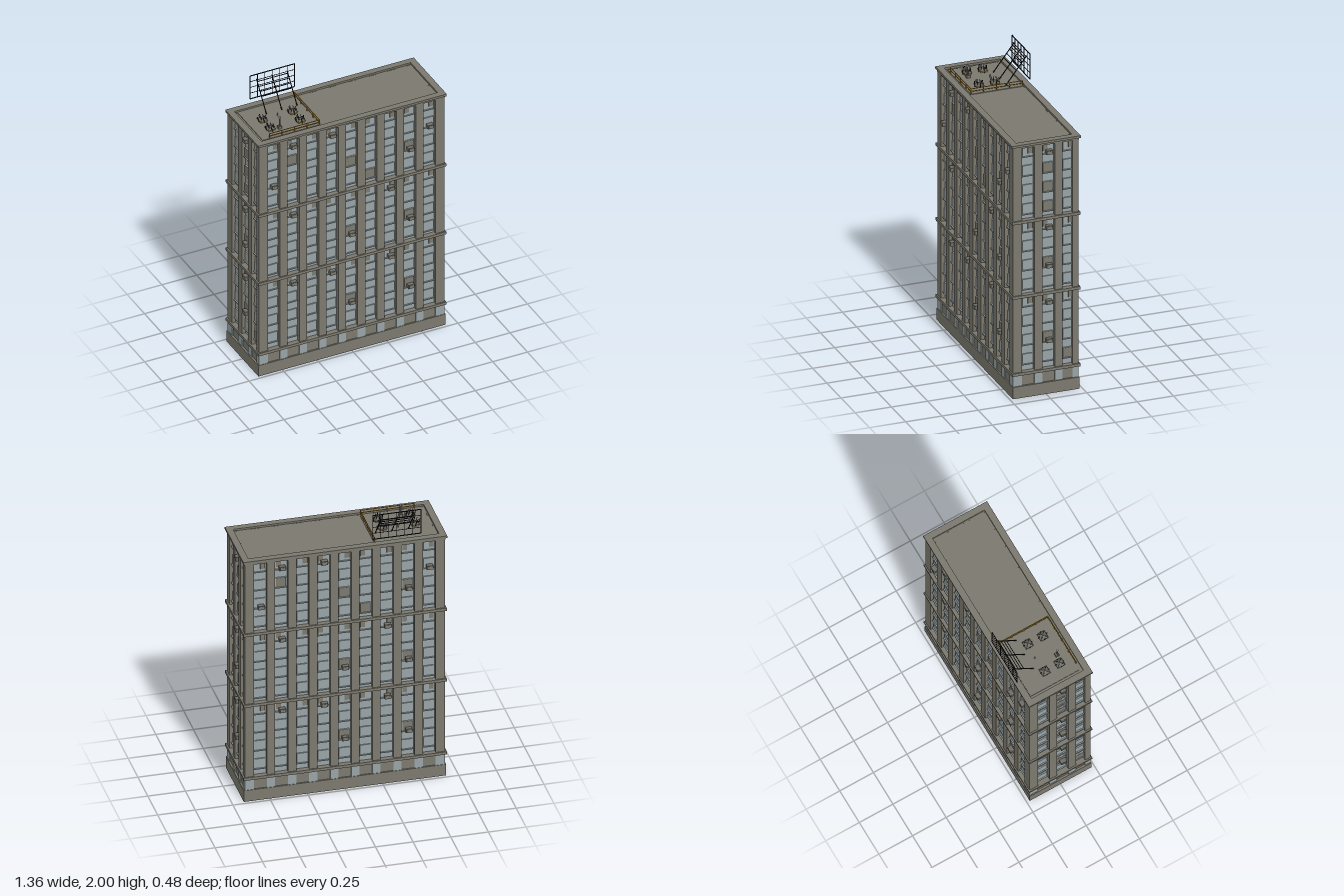
import * as THREE from 'three';

const mat = (name, color) => {
  const m = new THREE.MeshStandardMaterial({ color });
  m.name = name;
  return m;
};

export function createModel() {
  const stone = mat('stone', 0x7b796e);
  const glass = mat('paleGlass', 0x98a3a6);
  glass.side = THREE.DoubleSide;
  const unit = mat('unitGrey', 0x6e6d66);
  const steel = mat('blackSteel', 0x17171a);
  const amber = mat('amberPaint', 0xb07c14);
  const pale = mat('paleMetal', 0xa9aaa6);

  const model = new THREE.Group();
  model.name = 'officeBlock';

  const add = (parent, name, geo, m, x = 0, y = 0, z = 0) => {
    const mesh = new THREE.Mesh(geo, m);
    mesh.name = name;
    mesh.position.set(x, y, z);
    parent.add(mesh);
    return mesh;
  };
  const box = (parent, name, m, w, h, d, x, y, z) =>
    add(parent, name, new THREE.BoxGeometry(w, h, d), m, x, y, z);
  const group = (name, parent = model) => {
    const g = new THREE.Group();
    g.name = name;
    parent.add(g);
    return g;
  };
  // Straight square bar between two points
  const bar = (parent, name, m, a, b, t) => {
    const p = new THREE.Vector3(...a), q = new THREE.Vector3(...b);
    const mesh = add(parent, name, new THREE.BoxGeometry(t, t, p.distanceTo(q)), m);
    mesh.position.copy(p).add(q).multiplyScalar(0.5);
    mesh.lookAt(q);
    return mesh;
  };
  // Rectangular ring lying flat, from y0 to y1
  const ring = (name, m, hx, hz, ix, iz, y0, y1) => {
    const rect = (P, a, b) => {
      const p = new P();
      p.moveTo(-a, -b); p.lineTo(a, -b); p.lineTo(a, b); p.lineTo(-a, b); p.closePath();
      return p;
    };
    const s = rect(THREE.Shape, hx, hz);
    s.holes.push(rect(THREE.Path, ix, iz));
    const geo = new THREE.ExtrudeGeometry(s, { depth: y1 - y0, bevelEnabled: false });
    geo.rotateX(-Math.PI / 2);
    return add(model, name, geo, m, 0, y0, 0);
  };

  // Facades: piers, glazed strips, panes, blinds and cooling units
  const HX = 0.665, HZ = 0.226, BAY = 0.14, OPEN = 0.086, DEEP = 0.026;
  const sections = [0.70, 1.225, 1.755];       // top of each four-storey section
  const rowY = r => sections[Math.floor(r / 4)] - 0.036 - (r % 4) * 0.135;

  // Rows count up by section, and downwards inside each section
  const facade = (name, half, cols, offset, units, blinds) => {
    const f = group(name);
    const colX = i => offset + (i - (cols - 1) / 2) * BAY;
    add(f, 'glazing', new THREE.PlaneGeometry(half * 2 - 0.04, 1.69), glass, 0, 0.925, -DEEP);

    for (let i = 0; i <= cols; i++) {
      const l = i === 0 ? -half : colX(i - 1) + OPEN / 2;
      const r = i === cols ? half : colX(i) - OPEN / 2;
      const x = (l + r) / 2, w = r - l;
      box(f, 'pier', stone, w, 1.61, 0.04, x, 0.965, -0.02);
      box(f, 'groundFloorPanel', glass, w, 0.08, 0.04, x, 0.12, -0.02);
    }
    for (let i = 0; i < cols; i++) {
      const x = colX(i);
      box(f, 'entrancePanel', stone, OPEN, 0.08, 0.03, x, 0.12, -0.022);
      for (let r = 0; r < 12; r++) {
        const y = rowY(r);
        box(f, 'windowPane', glass, 0.07, 0.07, 0.008, x, y, -DEEP + 0.004);
        box(f, 'windowSill', glass, 0.076, 0.006, 0.016, x, y - 0.037, -DEEP + 0.008);
        if (r % 4 === 0) {
          const side = i % 2 ? -1 : 1;
          box(f, 'blind', stone, 0.032, 0.05, 0.002, x + side * 0.018, y + 0.008, -DEEP + 0.009);
        }
      }
    }
    for (const [c, r] of blinds)
      box(f, 'blind', stone, 0.068, 0.066, 0.002, colX(c), rowY(r), -DEEP + 0.009);
    for (const [c, r] of units) {
      box(f, 'coolingUnit', unit, 0.042, 0.028, 0.036, colX(c) + 0.004, rowY(r) - 0.022, -0.006);
      box(f, 'coolingGrille', stone, 0.034, 0.02, 0.003, colX(c) + 0.004, rowY(r) - 0.022, 0.0125);
    }
    return f;
  };

  const longUnits = [[1, 0], [3, 0], [6, 0], [4, 2], [7, 2], [1, 4], [6, 4], [4, 6], [7, 6],
    [1, 8], [3, 8], [8, 9], [0, 10], [7, 10]];
  const longBlinds = [[4, 2], [7, 2], [4, 6], [7, 6], [1, 9], [4, 10], [7, 10], [5, 11]];
  const endUnits = [[1, 0], [1, 2], [1, 4], [1, 6], [1, 8]];
  const endBlinds = [[1, 2], [2, 3], [1, 6], [1, 9], [1, 10], [1, 11]];
  facade('frontFacade', HX, 9, 0, longUnits, longBlinds).position.z = HZ;
  const back = facade('backFacade', HX, 9, 0, longUnits, longBlinds);
  back.rotation.y = Math.PI;
  back.position.z = -HZ;
  for (const s of [1, -1]) {
    const end = facade(s > 0 ? 'leftFacade' : 'rightFacade', HZ, 3, 0.02, endUnits, endBlinds);
    end.rotation.y = s * Math.PI / 2;
    end.position.x = s * HX;
  }

  // Plinth, string courses and cornice
  ring('plinth', stone, 0.672, 0.229, 0.635, 0.196, 0, 0.082);
  for (const y of [0.158, 0.7, 1.225])
    ring('stringCourse', stone, 0.675, 0.235, 0.638, 0.198, y, y + 0.02);
  ring('frieze', stone, 0.668, 0.229, 0.635, 0.196, 1.752, 1.766);
  ring('cornice', stone, 0.677, 0.237, 0.633, 0.193, 1.766, 1.782);

  // Roof deck and the raised service platform
  box(model, 'roofDeck', stone, 1.28, 0.01, 0.4, 0, 1.764, 0);
  box(model, 'servicePlatform', stone, 0.41, 0.005, 0.365, -0.41, 1.771, -0.006);

  // Amber safety railing on the front and inner sides
  const rail = group('safetyRailing');
  const X0 = -0.565, X1 = -0.207, Z0 = -0.18, Z1 = 0.175;
  for (const y of [1.792, 1.809]) {
    bar(rail, 'railFront', amber, [X0, y, Z1], [X1, y, Z1], 0.004);
    bar(rail, 'railInner', amber, [X1, y, Z0], [X1, y, Z1], 0.004);
  }
  for (let i = 0; i <= 4; i++) {
    const t = i / 4;
    box(rail, 'railPost', amber, 0.005, 0.04, 0.005, X0 + (X1 - X0) * t, 1.791, Z1);
    if (i < 4) box(rail, 'railPost', amber, 0.005, 0.04, 0.005, X1, 1.791, Z0 + (Z1 - Z0) * t);
  }

  // Four pyramid roof vents
  for (const x of [-0.515, -0.3]) for (const z of [-0.027, 0.083]) {
    const v = group('roofVent');
    v.position.set(x, 1.773, z);
    box(v, 'ventCurb', amber, 0.046, 0.012, 0.046, 0, 0.006, 0);
    const h = 0.028;
    const cap = new THREE.ConeGeometry(h * Math.SQRT2, 0.02, 4, 1).toNonIndexed();
    cap.rotateY(Math.PI / 4);
    cap.computeVertexNormals();
    add(v, 'ventCap', cap, unit, 0, 0.022, 0);
    for (const a of [-h, h]) {
      bar(v, 'ventEdge', steel, [a, 0.012, -h], [a, 0.012, h], 0.004);
      bar(v, 'ventEdge', steel, [-h, 0.012, a], [h, 0.012, a], 0.004);
      for (const b of [-h, h]) bar(v, 'ventRib', steel, [a, 0.012, b], [0, 0.032, 0], 0.003);
    }
  }

  // Chimney flue and small pipe
  box(model, 'flueBase', unit, 0.024, 0.02, 0.024, -0.455, 1.783, 0.098);
  add(model, 'flue', new THREE.CylinderGeometry(0.005, 0.006, 0.075, 8), unit, -0.455, 1.82, 0.102);
  add(model, 'flueCap', new THREE.CylinderGeometry(0.008, 0.008, 0.008, 8), pale, -0.455, 1.858, 0.102);
  add(model, 'ventPipe', new THREE.CylinderGeometry(0.004, 0.004, 0.025, 8), pale, -0.403, 1.785, -0.036);

  // Steel sign lattice at the rear edge
  const sign = group('signFrame');
  const SX0 = -0.505, SX1 = -0.185, SY0 = 1.822, SY1 = 1.998, SZ = -0.225;
  for (let i = 0; i <= 6; i++) {
    const x = SX0 + (SX1 - SX0) * i / 6;
    bar(sign, 'signUpright', steel, [x, SY0, SZ], [x, SY1, SZ], i % 6 ? 0.003 : 0.005);
  }
  for (let i = 0; i <= 4; i++) {
    const y = SY0 + (SY1 - SY0) * i / 4;
    bar(sign, 'signCrossbar', steel, [SX0, y, SZ], [SX1, y, SZ], i % 4 ? 0.003 : 0.005);
  }
  // Raking struts and their ties
  const foot = [1.778, -0.078], head = [1.965, -0.223];
  for (const x of [-0.46, -0.35, -0.24])
    bar(sign, 'signStrut', steel, [x, ...foot], [x, ...head], 0.005);
  for (const t of [0.5, 0.64, 0.78, 0.92]) {
    const y = foot[0] + (head[0] - foot[0]) * t, z = foot[1] + (head[1] - foot[1]) * t;
    bar(sign, 'strutTie', steel, [-0.46, y, z], [-0.24, y, z], 0.004);
  }
  return model;
}
